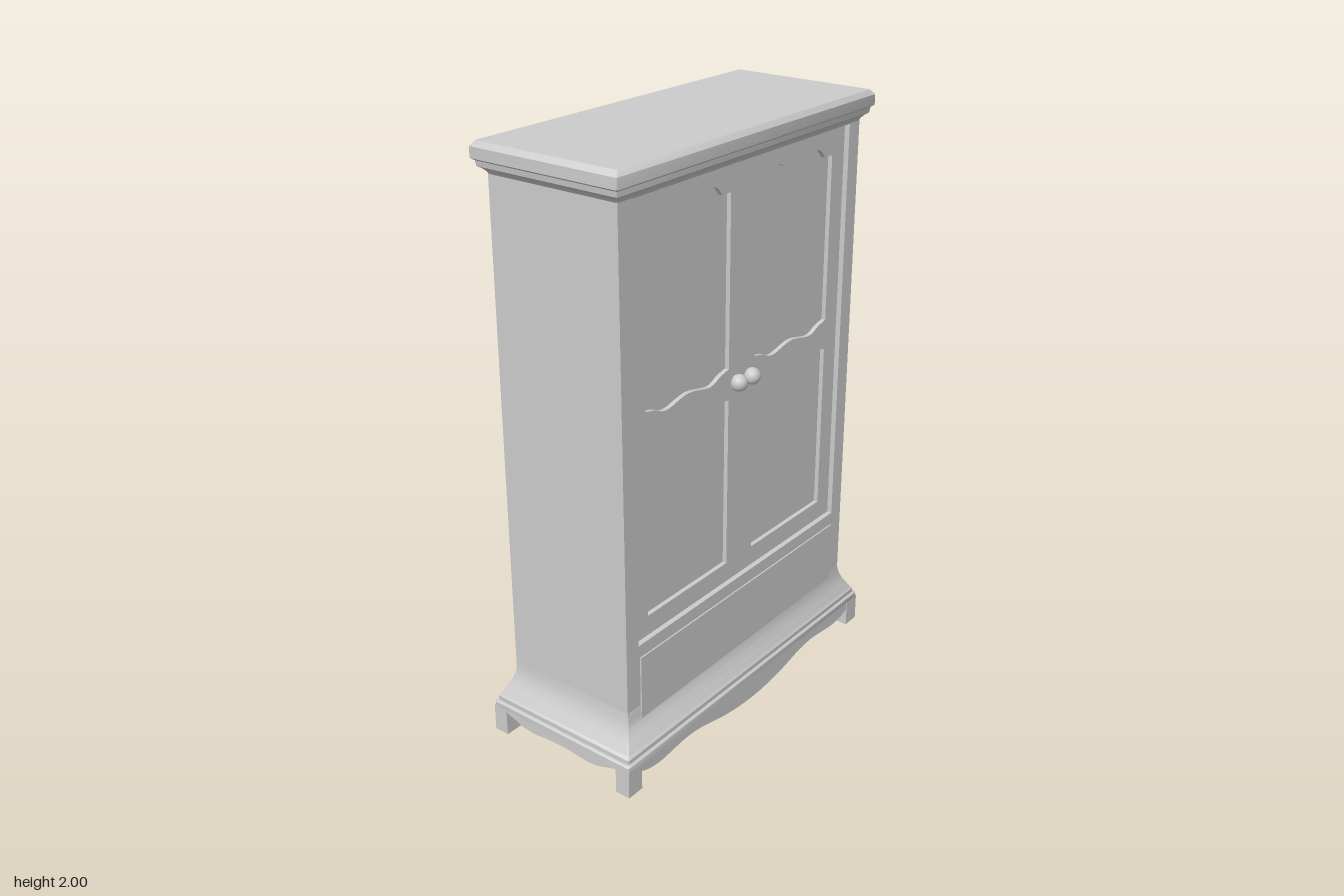
import * as THREE from 'three';
import { toCreasedNormals } from 'three/addons/utils/BufferGeometryUtils.js';

const BX = 0.24, BZ = 0.603; // cabinet half depth and half width

export function createModel() {
  const root = new THREE.Group();
  const material = new THREE.MeshStandardMaterial({ color: 0xcccccc });

  function add(name, geometry, x = 0, y = 0, z = 0) {
    const mesh = new THREE.Mesh(geometry, material);
    mesh.name = name;
    mesh.position.set(x, y, z);
    root.add(mesh);
    return mesh;
  }

  // Box given by its limits
  function block(name, x0, x1, y0, y1, z0, z1) {
    return add(name, new THREE.BoxGeometry(x1 - x0, y1 - y0, z1 - z0),
      (x0 + x1) / 2, (y0 + y1) / 2, (z0 + z1) / 2);
  }

  // Closed moulding running round the cabinet; profile points are [overhang, height]
  function moulding(name, profile, radius) {
    const pos = [], index = [], arc = 4, n = 4 * (arc + 1);
    for (const [o, y] of profile) {
      const hx = BX + o, hz = BZ + o * 1.18;
      for (let c = 0; c < 4; c++) {
        const sx = c === 0 || c === 3 ? 1 : -1, sz = c < 2 ? 1 : -1;
        for (let k = 0; k <= arc; k++) {
          const a = (c + k / arc) * Math.PI / 2;
          pos.push(sx * (hx - radius) + radius * Math.cos(a), y, sz * (hz - radius) + radius * Math.sin(a));
        }
      }
    }
    const last = (profile.length - 1) * n, bottom = profile.length * n, top = bottom + 1;
    pos.push(0, profile[0][1], 0, 0, profile[profile.length - 1][1], 0);
    for (let i = 0; i < n; i++) {
      const j = (i + 1) % n;
      for (let r = 0; r < last; r += n) index.push(r + i, r + n + i, r + j, r + j, r + n + i, r + n + j);
      index.push(bottom, i, j, top, last + j, last + i);
    }
    const g = new THREE.BufferGeometry();
    g.setAttribute('position', new THREE.Float32BufferAttribute(pos, 3));
    g.setIndex(index);
    return add(name, toCreasedNormals(g, 0.6));
  }

  // Smooth line through [u, y] points
  const wave = (pts, steps) => new THREE.SplineCurve(pts.map(p => new THREE.Vector2(...p))).getPoints(steps);
  const extrude = (shape, depth) =>
    toCreasedNormals(new THREE.ExtrudeGeometry(shape, { depth, bevelEnabled: false }), 0.5);

  // Carcass and the face frame around the doors
  block('carcass', -BX, 0.207, 0.2, 1.92, -BZ, BZ);
  for (const s of [-1, 1]) {
    const z = [s * 0.545, s * BZ].sort((a, b) => a - b);
    block('frameStile', 0.207, BX, 0.2, 1.92, z[0], z[1]);
  }
  block('frameRail', 0.207, BX, 0.2, 0.483, -0.545, 0.545);
  block('lowerPanel', 0.23, 0.245, 0.2, 0.438, -0.54, 0.54);

  // Doors: one sheet each, with two scalloped panel openings
  const upperTop = [[-0.16, 1.81], [-0.137, 1.835], [-0.105, 1.844], [-0.06, 1.828], [0, 1.812],
    [0.06, 1.828], [0.105, 1.844], [0.137, 1.835], [0.16, 1.81]];
  const upperBottom = [[0.203, 1.245], [0.16, 1.235], [0.105, 1.217], [0, 1.235], [-0.105, 1.217], [-0.16, 1.235], [-0.203, 1.245]];
  const lowerTop = [[-0.203, 1.14], [-0.16, 1.148], [-0.105, 1.166], [0, 1.15], [0.105, 1.166], [0.16, 1.148], [0.203, 1.14]];
  for (const s of [-1, 1]) {
    const v = (x, y) => new THREE.Vector2(x, y);
    const door = new THREE.Shape([v(-0.2725, 0.483), v(0.2725, 0.483), v(0.2725, 1.905), v(-0.2725, 1.905)]);
    const upper = [v(-0.203, 1.81), ...wave(upperTop, 40), v(0.203, 1.81), ...wave(upperBottom, 32)];
    const lower = [v(-0.203, 0.552), ...wave(lowerTop, 32), v(0.203, 0.552)];
    for (const hole of [upper, lower]) {
      door.holes.push(new THREE.Path(hole.map(p => v(p.x + s * 0.0005, p.y))));
    }
    const mesh = add(s < 0 ? 'leftDoor' : 'rightDoor', extrude(door, 0.015), 0.207, 0, -s * 0.2725);
    mesh.rotation.y = Math.PI / 2;

    // Round knob on a short stem
    add('knob', new THREE.SphereGeometry(0.028, 24, 16), 0.237, 1.192, s * 0.035);
    add('knobStem', new THREE.CylinderGeometry(0.012, 0.012, 0.03, 16).rotateZ(Math.PI / 2), 0.225, 1.192, s * 0.035);
  }

  // Cornice, with a cove beneath and a chamfered top
  moulding('cornice', [[-0.001, 1.9], [0.004, 1.91], [0.012, 1.919], [0.022, 1.926], [0.024, 1.943],
    [0.033, 1.95], [0.033, 1.984], [0.02, 2]], 0.006);

  // Flared plinth and the slab over the feet
  moulding('plinth', [[0.043, 0.11], [0.043, 0.132], [0.037, 0.138], [0.034, 0.145], [0.026, 0.16],
    [0.015, 0.182], [0.006, 0.208], [0.002, 0.232], [0, 0.262]], 0.006);
  moulding('baseSlab', [[0.052, 0.095], [0.052, 0.112], [0.047, 0.117]], 0.01);

  // Feet at the corners
  const FX = BX + 0.052, FZ = BZ + 0.052 * 1.18;
  for (const sx of [-1, 1]) {
    for (const sz of [-1, 1]) {
      add('foot', new THREE.BoxGeometry(0.054, 0.1, 0.064), sx * (FX - 0.027), 0.05, sz * (FZ - 0.032));
    }
  }

  // Wavy aprons between the feet; the curve lists half of each lower edge
  function apron(name, half, edge, out, turn) {
    const pts = [...edge.map(([u, y]) => [-u, y]), ...edge.slice(0, -1).reverse()];
    const shape = new THREE.Shape([...wave(pts, 48), new THREE.Vector2(half, 0.1), new THREE.Vector2(-half, 0.1)]);
    const mesh = add(name, extrude(shape, 0.03), Math.sin(turn) * (out - 0.03), 0, Math.cos(turn) * (out - 0.03));
    mesh.rotation.y = turn;
  }
  const longEdge = [[0.6, 0.065], [0.56, 0.052], [0.5, 0.046], [0.43, 0.053], [0.36, 0.058], [0.28, 0.05], [0.15, 0.022], [0, 0.01]];
  const shortEdge = [[0.24, 0.086], [0.2, 0.075], [0.16, 0.062], [0.11, 0.058], [0.05, 0.064], [0, 0.066]];
  apron('frontApron', 0.6, longEdge, FX - 0.002, Math.PI / 2);
  apron('backApron', 0.6, longEdge, FX - 0.002, -Math.PI / 2);
  apron('sideApron', 0.24, shortEdge, FZ - 0.002, 0);
  apron('sideApron', 0.24, shortEdge, FZ - 0.002, Math.PI);

  return root;
}
